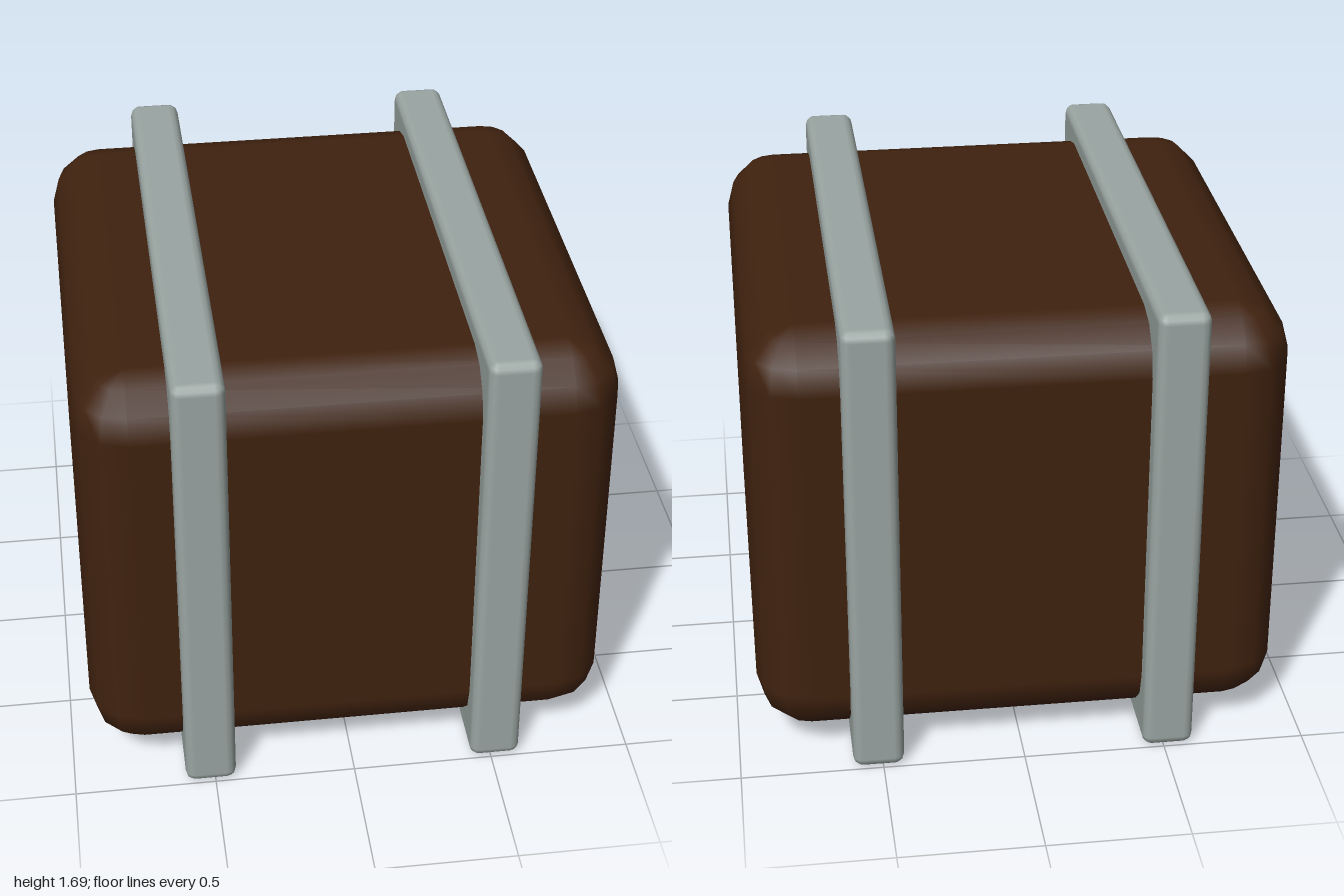
import * as THREE from 'three';

const leather = new THREE.MeshStandardMaterial({ color: 0x40220f });
leather.name = 'dark brown';
const metal = new THREE.MeshStandardMaterial({ color: 0x9aa5a2 });
metal.name = 'grey';

// Box with rounded edges of three facets, made by pulling a sphere's octants
// apart to the box corners; the pole rows become the top and bottom caps.
function bevelledBox(w, h, d, r) {
  const geo = new THREE.SphereGeometry(1, 16, 9);
  const pos = geo.attributes.position;
  const nor = geo.attributes.normal;
  const step = Math.PI / 6;
  for (let i = 0; i < pos.count; i++) {
    const col = i % 17;
    const row = Math.floor(i / 17);
    if (row === 0 || row === 9) {
      const s = row === 0 ? 1 : -1;
      pos.setXYZ(i, 0, s * h / 2, 0);
      nor.setXYZ(i, 0, s, 0);
      continue;
    }
    const quadrant = Math.floor(col / 4) % 4;
    const phi = ((col % 4) + quadrant * 3) * step;
    const theta = (row <= 4 ? row - 1 : row - 2) * step;
    const sx = quadrant === 0 || quadrant === 3 ? -1 : 1;
    const sz = quadrant < 2 ? 1 : -1;
    const sy = row <= 4 ? 1 : -1;
    const nx = -Math.cos(phi) * Math.sin(theta);
    const ny = Math.cos(theta);
    const nz = Math.sin(phi) * Math.sin(theta);
    nor.setXYZ(i, nx, ny, nz);
    pos.setXYZ(i, sx * (w / 2 - r) + nx * r, sy * (h / 2 - r) + ny * r, sz * (d / 2 - r) + nz * r);
  }
  return geo;
}

export function createModel() {
  const group = new THREE.Group();
  group.name = 'strappedCrate';

  // Rounded body
  const body = new THREE.Mesh(bevelledBox(1.85, 1.545, 1.85, 0.185), leather);
  body.name = 'body';
  body.position.y = 0.847;
  group.add(body);

  // Two bands around the body
  for (const side of [-1, 1]) {
    const band = new THREE.Mesh(bevelledBox(0.18, 1.694, 2, 0.035), metal);
    band.name = side > 0 ? 'leftBand' : 'rightBand';
    band.position.set(side * 0.515, 0.847, 0);
    group.add(band);
  }
  return group;
}
